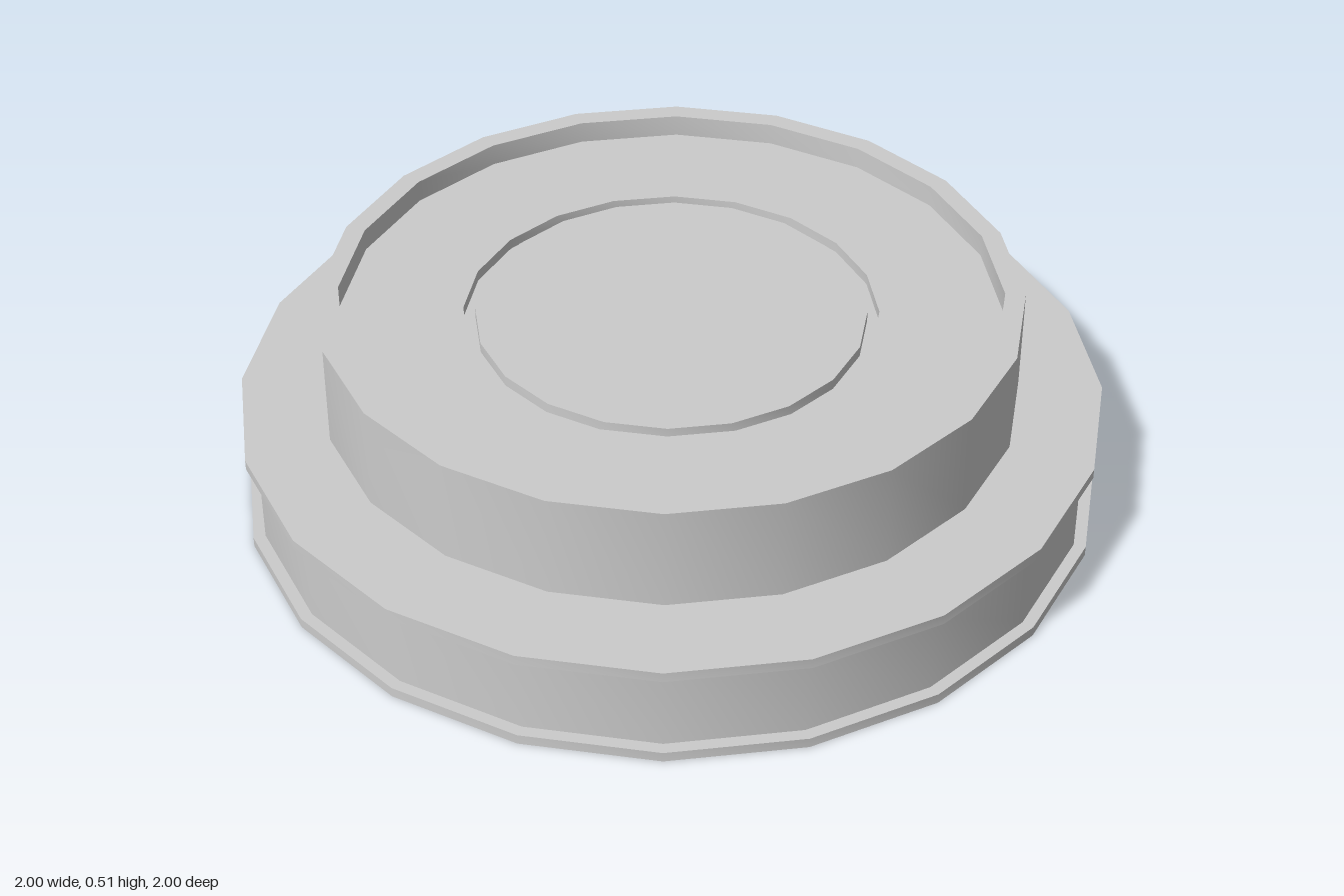
import * as THREE from 'three';
import { toCreasedNormals } from 'three/addons/utils/BufferGeometryUtils.js';

const SIDES = 20;

// Turned solid from an [radius, height] profile running bottom axis -> outside -> top axis
function turned(name, profile) {
  const points = profile.map(([r, y]) => new THREE.Vector2(r, y));
  const geometry = toCreasedNormals(new THREE.LatheGeometry(points, SIDES), Math.PI / 5);
  const mesh = new THREE.Mesh(geometry, new THREE.MeshStandardMaterial({ color: 0xcccccc }));
  mesh.name = name;
  return mesh;
}

export function createModel() {
  const model = new THREE.Group();
  model.name = 'roundPedestal';

  // Wide base with a thin flange at bottom and top
  model.add(turned('flangedBase', [
    [0, 0], [1, 0], [1, 0.024], [0.972, 0.024],
    [0.972, 0.224], [1, 0.224], [1, 0.248], [0, 0.248],
  ]));

  // Upper drum, set just clear of the base: raised rim, sunken floor, narrow ring groove
  model.add(turned('upperDrum', [
    [0, 0.264], [0.805, 0.264], [0.805, 0.51], [0.758, 0.51],
    [0.758, 0.457], [0.475, 0.457], [0.475, 0.432],
    [0.448, 0.432], [0.448, 0.457], [0, 0.457],
  ]));

  return model;
}
